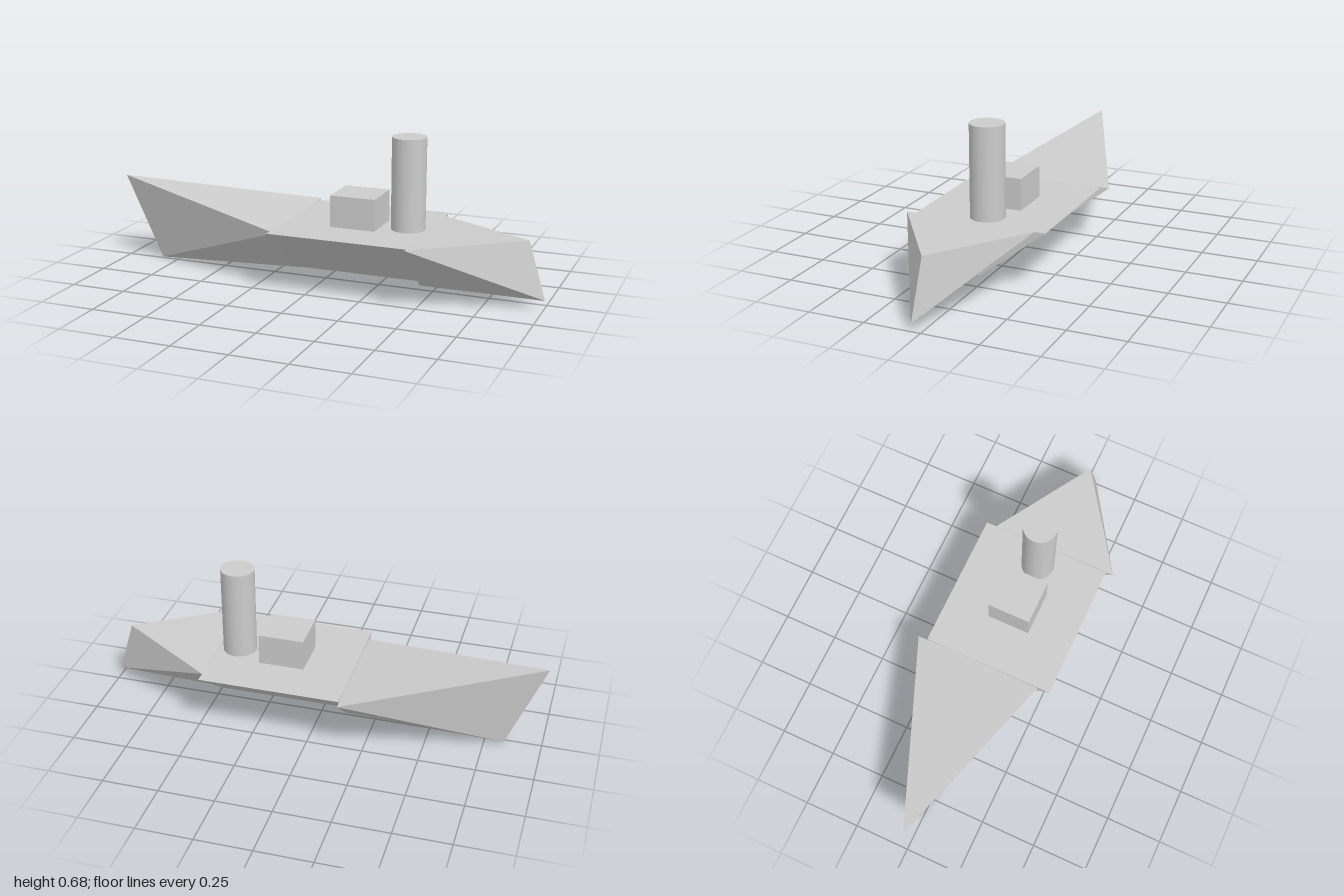
import * as THREE from 'three';
import { ConvexGeometry } from 'three/addons/geometries/ConvexGeometry.js';

const material = new THREE.MeshStandardMaterial({ color: 0xcccccc, flatShading: true });
const smoothMaterial = new THREE.MeshStandardMaterial({ color: 0xcccccc });

export function createModel() {
  const group = new THREE.Group();

  const add = (name, geometry, mat = material) => {
    const mesh = new THREE.Mesh(geometry, mat);
    mesh.name = name;
    group.add(mesh);
    return mesh;
  };
  // Convex solid spanned by a few corner points
  const hull = (name, corners) =>
    add(name, new ConvexGeometry(corners.map((c) => new THREE.Vector3(...c))));

  // Middle hull: V-shaped prism with a flat deck
  const section = new THREE.Shape([
    new THREE.Vector2(-0.3, 0.273),
    new THREE.Vector2(0, 0.04),
    new THREE.Vector2(0.297, 0.273),
  ]);
  const middle = add('middleHull',
    new THREE.ExtrudeGeometry(section, { depth: 0.63, bevelEnabled: false }));
  middle.rotation.y = Math.PI / 2;
  middle.position.x = -0.155;

  // Bow: triangular section narrowing to a raked stem edge
  hull('bow', [
    [-0.16, 0.275, -0.337], [-0.14, 0.262, 0.248], [-0.12, 0.03, -0.025],
    [-1, 0.39, 0.01], [-0.835, 0.002, -0.015],
  ]);

  // Stern: shorter wedge whose lower point reaches furthest out
  hull('stern', [
    [0.475, 0.278, 0.335], [0.475, 0.274, -0.25], [0.447, 0.03, 0.025],
    [0.922, 0.287, 0.028], [1, 0.035, 0.04],
  ]);

  // Cabin and funnel standing on the deck
  add('cabin', new THREE.BoxGeometry(0.204, 0.16, 0.195)).position.set(0.161, 0.334, 0.003);
  add('funnel', new THREE.CylinderGeometry(0.075, 0.075, 0.42, 40), smoothMaterial)
    .position.set(0.383, 0.47, 0.002);

  return group;
}
